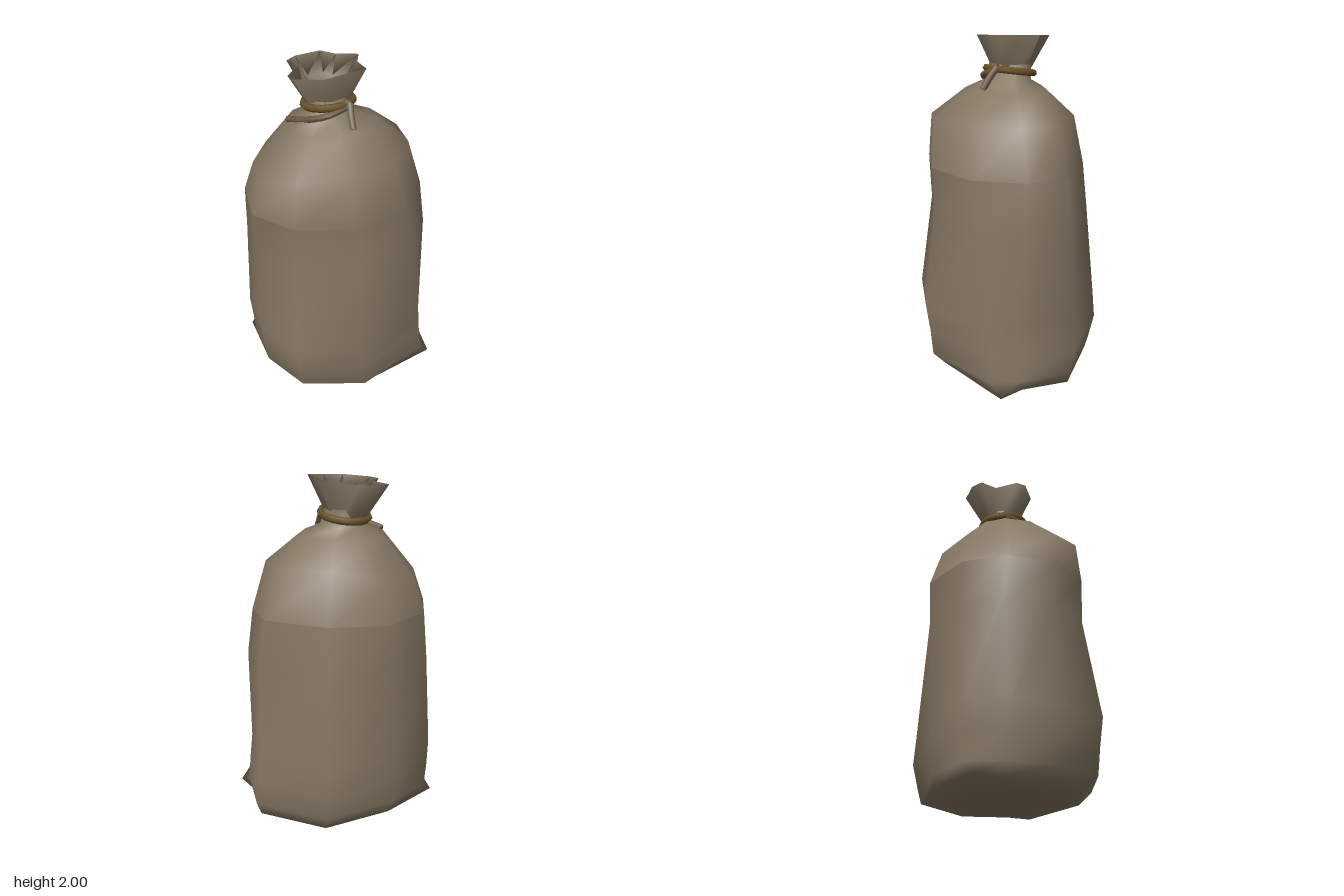
import * as THREE from 'three';

// Skin rings of points from bottom to top; optional centre points close the ends
function loft(rings, bottom, top) {
  const n = rings[0].length, pos = rings.flat(2), idx = [];
  for (let r = 0; r < rings.length - 1; r++) {
    for (let i = 0; i < n; i++) {
      const a = r * n + i, b = r * n + (i + 1) % n;
      idx.push(a, b, b + n, a, b + n, a + n);
    }
  }
  const cap = (centre, r, up) => {
    const c = pos.length / 3;
    pos.push(...centre);
    for (let i = 0; i < n; i++) {
      const a = r * n + i, b = r * n + (i + 1) % n;
      idx.push(c, up ? a : b, up ? b : a);
    }
  };
  if (bottom) cap(bottom, 0, false);
  if (top) cap(top, rings.length - 1, true);
  const g = new THREE.BufferGeometry();
  g.setAttribute('position', new THREE.Float32BufferAttribute(pos, 3));
  g.setIndex(idx);
  g.computeVertexNormals();
  return g;
}

// Irregular ten-sided outlines of the sack, counterclockwise from the front
const UPPER = [[-0.22, 1], [0.46, 0.84], [0.92, 0.31], [1, -0.35], [0.77, -0.8],
  [0.05, -1], [-0.62, -0.86], [-1, -0.3], [-1, 0.26], [-0.74, 0.8]];
const LOWER = [[-0.18, 1], [0.48, 0.83], [1, 0.1], [0.96, -0.2], [0.77, -0.76],
  [0.01, -1], [-0.66, -0.56], [-1, -0.15], [-0.93, 0.27], [-0.66, 0.69]];

// Fit an outline (0 lower .. 1 upper) into extents; droop lowers -x, ear pulls out bottom corners
function ring(y, x0, x1, z0, z1, { blend = 0, droop = 0, ear = 0 } = {}) {
  const cx = (x0 + x1) / 2, hx = (x1 - x0) / 2, cz = (z0 + z1) / 2, hz = (z1 - z0) / 2;
  return LOWER.map(([lu, lv], i) => {
    const u = THREE.MathUtils.lerp(lu, UPPER[i][0], blend);
    const v = THREE.MathUtils.lerp(lv, UPPER[i][1], blend);
    const corner = ear && (i === 2 || i === 7);
    return [cx + u * hx + (corner ? Math.sign(u) * ear : 0), y + droop * Math.min(0, u),
      corner ? -0.015 : cz + v * hz];
  });
}

export function createModel() {
  const cloth = new THREE.MeshStandardMaterial({ name: 'burlap', color: 0x857763 });
  const cord = new THREE.MeshStandardMaterial({ name: 'cord brown', color: 0x6b5226 });
  const cordEnd = new THREE.MeshStandardMaterial({ name: 'cord grey brown', color: 0x685840 });
  const group = new THREE.Group();
  group.name = 'tiedSack';
  const add = (name, geometry, material) => {
    const m = new THREE.Mesh(geometry, material);
    m.name = name;
    group.add(m);
  };

  // Filled lower body with pinched bottom corners
  const waist = ring(1.265, -0.515, 0.46, -0.45, 0.48, { blend: 1 });
  add('sackBody', loft([
    ring(0.008, -0.43, 0.3, -0.33, 0.35),
    ring(0.05, -0.53, 0.53, -0.5, 0.43, { ear: 0.08 }),
    ring(0.12, -0.565, 0.56, -0.52, 0.51),
    ring(0.27, -0.575, 0.545, -0.555, 0.53),
    ring(0.43, -0.58, 0.53, -0.54, 0.555),
    ring(1.0, -0.54, 0.505, -0.48, 0.47, { blend: 0.65 }),
    waist,
  ], [-0.05, 0, 0]), cloth);

  // Shoulders gathered in to the neck
  add('sackShoulders', loft([
    waist,
    ring(1.54, -0.45, 0.38, -0.39, 0.455, { blend: 1, droop: 0.09 }),
    ring(1.685, -0.27, 0.2, -0.23, 0.24, { blend: 1 }),
    ring(1.735, -0.18, 0.08, -0.14, 0.13, { blend: 1 }),
    ring(1.83, -0.16, 0.055, -0.14, 0.1, { blend: 1 }),
  ]), cloth);

  // Ruffled mouth: outer flare folding over the rim into a shallow hollow
  const rim = [[-0.19, 0.165], [-0.03, 0.165], [0.07, 0.08], [0.155, 0.015],
    [0.09, -0.08], [0.075, -0.19], [-0.05, -0.19], [-0.15, -0.24],
    [-0.27, -0.16], [-0.3, -0.09], [-0.215, -0.02], [-0.235, 0.12]];
  const mouth = (s, y, tilt) => rim.map(([x, z]) =>
    [-0.06 + (x + 0.06) * s, y + tilt * x, -0.02 + (z + 0.02) * s]);
  add('sackMouth', loft([
    mouth(0.5, 1.78, 0),
    mouth(1, 1.987, 0.08),
    mouth(0.6, 1.89, 0.03),
  ], null, [-0.06, 1.87, -0.02]), cloth);

  // Tilted turn of cord around the neck
  const turn = Array.from({ length: 8 }, (_, i) => {
    const a = i / 8 * Math.PI * 2, x = Math.cos(a) * 0.135, z = Math.sin(a) * 0.135;
    return new THREE.Vector3(x - 0.055, 1.787 + 0.12 * x + 0.1 * z, z - 0.018);
  });
  add('neckCord', new THREE.TubeGeometry(
    new THREE.CatmullRomCurve3(turn, true), 16, 0.021, 6, true), cord);

  // Loose ends of the knot, each closed with a small disc
  const tails = [
    [[0.02, 1.79, 0.09], [0.07, 1.82, 0.045], [0.09, 1.77, 0.08], [0.112, 1.7, 0.12]],
    [[0.07, 1.8, 0.06], [-0.03, 1.765, 0.13], [-0.16, 1.725, 0.115], [-0.26, 1.697, 0.068]],
  ];
  for (const t of tails) {
    const curve = new THREE.CatmullRomCurve3(t.map(p => new THREE.Vector3(...p)));
    add('cordTail', new THREE.TubeGeometry(curve, 10, 0.019, 6), cordEnd);
    const end = new THREE.CircleGeometry(0.019, 6);
    end.applyQuaternion(new THREE.Quaternion().setFromUnitVectors(
      new THREE.Vector3(0, 0, 1), curve.getTangent(1)));
    end.translate(...t[3]);
    add('cordTailEnd', end, cordEnd);
  }
  return group;
}
